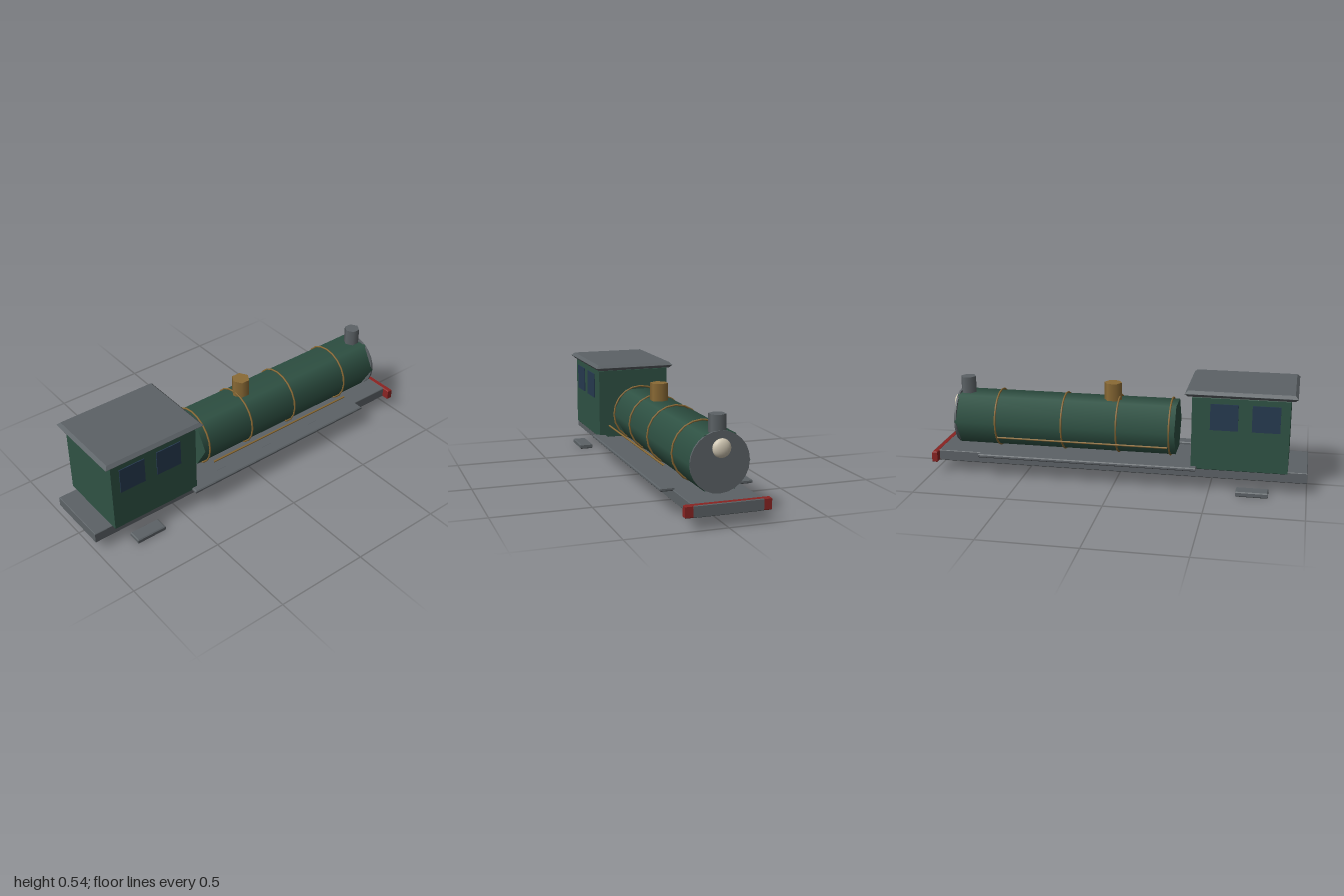
import * as THREE from 'three';

const mat = (color) => new THREE.MeshStandardMaterial({ color });

export function createModel() {
  const model = new THREE.Group();
  const green = mat(0x2f5244), grey = mat(0x5c6266), brass = mat(0x8a6a35);
  const red = mat(0x8a2422), glass = mat(0x263a50), ivory = mat(0xcfc6b2);
  const axisY = 0.277;

  const add = (name, geometry, material, x = 0, y = 0, z = 0) => {
    const mesh = new THREE.Mesh(geometry, material);
    mesh.name = name;
    mesh.position.set(x, y, z);
    model.add(mesh);
    return mesh;
  };

  // Box with chamfered top and bottom edges, given by its extents
  const slab = (name, material, x0, x1, y0, y1, z0, z1, b) => {
    const w = (x1 - x0) / 2 - b, d = (z1 - z0) / 2 - b;
    const shape = new THREE.Shape([
      new THREE.Vector2(-w, -d), new THREE.Vector2(w, -d),
      new THREE.Vector2(w, d), new THREE.Vector2(-w, d),
    ]);
    const geometry = new THREE.ExtrudeGeometry(shape, {
      depth: y1 - y0 - 2 * b, bevelEnabled: true, bevelSize: b, bevelThickness: b, bevelSegments: 1,
    });
    geometry.rotateX(-Math.PI / 2);
    return add(name, geometry, material, (x0 + x1) / 2, y0 + b, (z0 + z1) / 2);
  };

  // Frame and buffer beam
  slab('chassis', grey, -1, 1, 0.063, 0.12, -0.172, 0.172, 0.003);
  slab('bufferBeam', red, 0.968, 0.998, 0.063, 0.121, -0.212, 0.212, 0.004);

  // Cab and roof
  slab('cab', green, -0.9, -0.405, 0.118, 0.505, -0.202, 0.202, 0.003);
  slab('cabRoof', grey, -0.935, -0.37, 0.507, 0.539, -0.225, 0.225, 0.0155);

  // Boiler: six-sided, smooth shaded, with a round front plate
  const boiler = new THREE.CylinderGeometry(0.152, 0.152, 1.192, 6);
  boiler.rotateZ(-Math.PI / 2);
  add('boiler', boiler, green, 0.286, axisY);
  const plate = new THREE.CylinderGeometry(0.148, 0.148, 0.01, 24);
  plate.rotateZ(-Math.PI / 2);
  add('smokeboxDoor', plate, grey, 0.881, axisY);

  // Brass bands round the boiler
  for (const x of [-0.28, 0, 0.295, 0.657]) {
    const band = new THREE.TorusGeometry(0.153, 0.005, 6, 20);
    band.rotateY(Math.PI / 2);
    add('boilerBand', band, brass, x, axisY);
  }

  // Six-sided stacks, corners pointing fore and aft
  const stack = (name, material, x, top, r) => {
    const geometry = new THREE.CylinderGeometry(r, r, top - 0.39, 6);
    geometry.rotateY(Math.PI / 2);
    add(name, geometry, material, x, (top + 0.39) / 2);
  };
  stack('chimney', grey, 0.844, 0.497, 0.042);
  stack('steamDome', brass, 0.04, 0.502, 0.048);

  // Headlamp
  add('headlamp', new THREE.SphereGeometry(0.046, 20, 14), ivory, 0.902, 0.347).scale.x = 0.52;

  // Parts found on both sides
  for (const s of [1, -1]) {
    const sided = (name, material, x0, x1, y0, y1, zIn, zOut, b) =>
      slab(name, material, x0, x1, y0, y1, Math.min(s * zIn, s * zOut), Math.max(s * zIn, s * zOut), b);
    sided('runningBoard', grey, -0.435, 0.73, 0.114, 0.133, 0.165, 0.236, 0.005);
    sided('cabStep', grey, -0.808, -0.642, 0, 0.027, 0.182, 0.255, 0.005);
    for (const x of [-0.782, -0.57]) {
      add('cabWindow', new THREE.BoxGeometry(0.142, 0.138, 0.01), glass, x, 0.404, s * 0.202);
    }
    const path = new THREE.LineCurve3(
      new THREE.Vector3(-0.28, 0.214, s * 0.181), new THREE.Vector3(0.637, 0.214, s * 0.181));
    add('handrail', new THREE.TubeGeometry(path, 1, 0.005, 8), brass);
  }

  return model;
}
